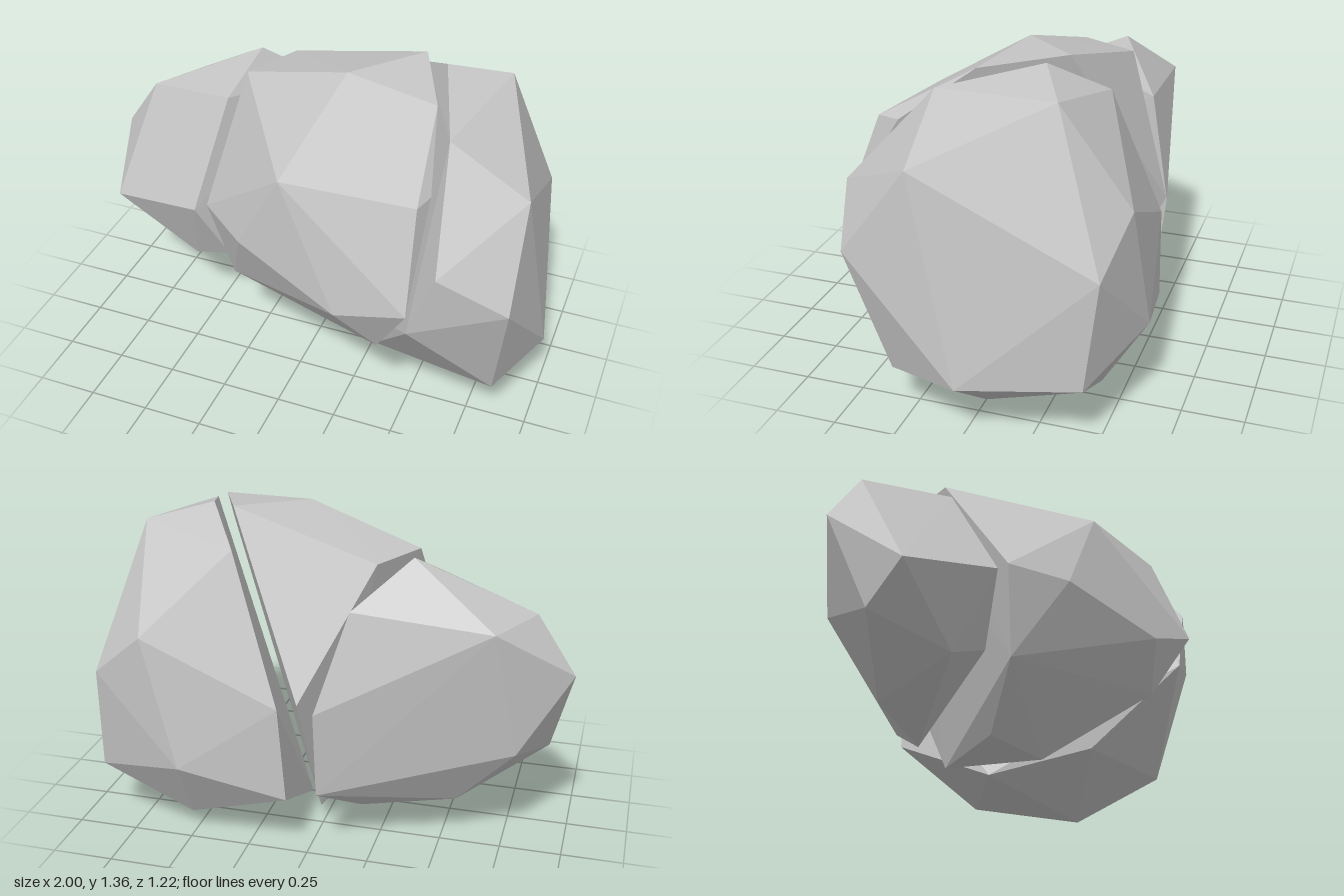
import * as THREE from 'three';
import { ConvexGeometry } from 'three/addons/geometries/ConvexGeometry.js';

const stone = new THREE.MeshStandardMaterial({ color: 0xc4c4c4 });
stone.name = 'light grey stone';

// One faceted chunk of rock, spanned by its corner points
function chunk(name, corners) {
  const points = corners.map(([x, y, z]) => new THREE.Vector3(x, y, z));
  const mesh = new THREE.Mesh(new ConvexGeometry(points), stone);
  mesh.name = name;
  return mesh;
}

export function createModel() {
  const rock = new THREE.Group();
  rock.name = 'splitRock';

  // Large end, on the model's left
  rock.add(chunk('leftChunk', [
    // outer faces
    [0.925, 0.71, 0.46], [0.91, 1.06, 0.2], [0.7, 1.3, -0.3], [1, 0.25, 0],
    [0.87, 0.71, -0.51], [0.89, 0.27, -0.46], [0.86, 0.205, 0.31], [0.67, 0, 0],
    [0.515, 0.08, -0.43], [0.5, 0.37, -0.61], [0.65, 0.9, -0.57],
    // rim of the crack
    [0.66, 0.88, 0.555], [0.59, 1.26, 0.21], [0.46, 1.355, -0.18], [0.32, 1.23, -0.39],
    [0.1, 0.65, -0.55], [0.07, 0.26, -0.55], [0.08, 0.07, -0.12],
    [0.335, 0.205, 0.23], [0.56, 0.6, 0.56],
  ]));

  // Wedge between the two cracks
  rock.add(chunk('middleChunk', [
    // front and top faces
    [-0.01, 1.07, 0.43], [0.27, 0.61, 0.57], [-0.2, 0.71, 0.4], [0.11, 1.34, 0],
    // rim beside the large end
    [0.57, 0.72, 0.61], [0.55, 1.11, 0.46], [0.575, 1.11, 0.37], [0.5, 1.32, 0.08],
    [0.36, 1.36, -0.24], [0.42, 0.43, 0.48], [0.17, 0.13, 0.08],
    // rim beside the small end
    [-0.36, 1.2, -0.09], [-0.24, 1.2, -0.33], [-0.415, 0.73, 0.24],
    [-0.32, 0.38, 0.2], [-0.12, 0.16, 0],
    // back edge
    [0.02, 0.68, -0.55], [0, 0.1, -0.28],
  ]));

  // Small end, on the model's right
  rock.add(chunk('rightChunk', [
    // outer faces
    [-0.84, 1, -0.17], [-1, 0.77, -0.2], [-0.925, 0.56, 0.09], [-0.71, 0.99, -0.41],
    [-0.91, 0.4, -0.07], [-0.8, 0.46, -0.32], [-0.56, 0.19, -0.24], [-0.56, 0.33, 0.08],
    // rim of the crack
    [-0.37, 1.22, -0.27], [-0.42, 1.1, -0.02], [-0.48, 0.68, 0.23], [-0.38, 0.4, 0.12],
    [-0.18, 0.14, -0.3], [-0.04, 0.27, -0.5], [-0.04, 0.64, -0.54], [-0.16, 1.04, -0.44],
  ]));

  return rock;
}
